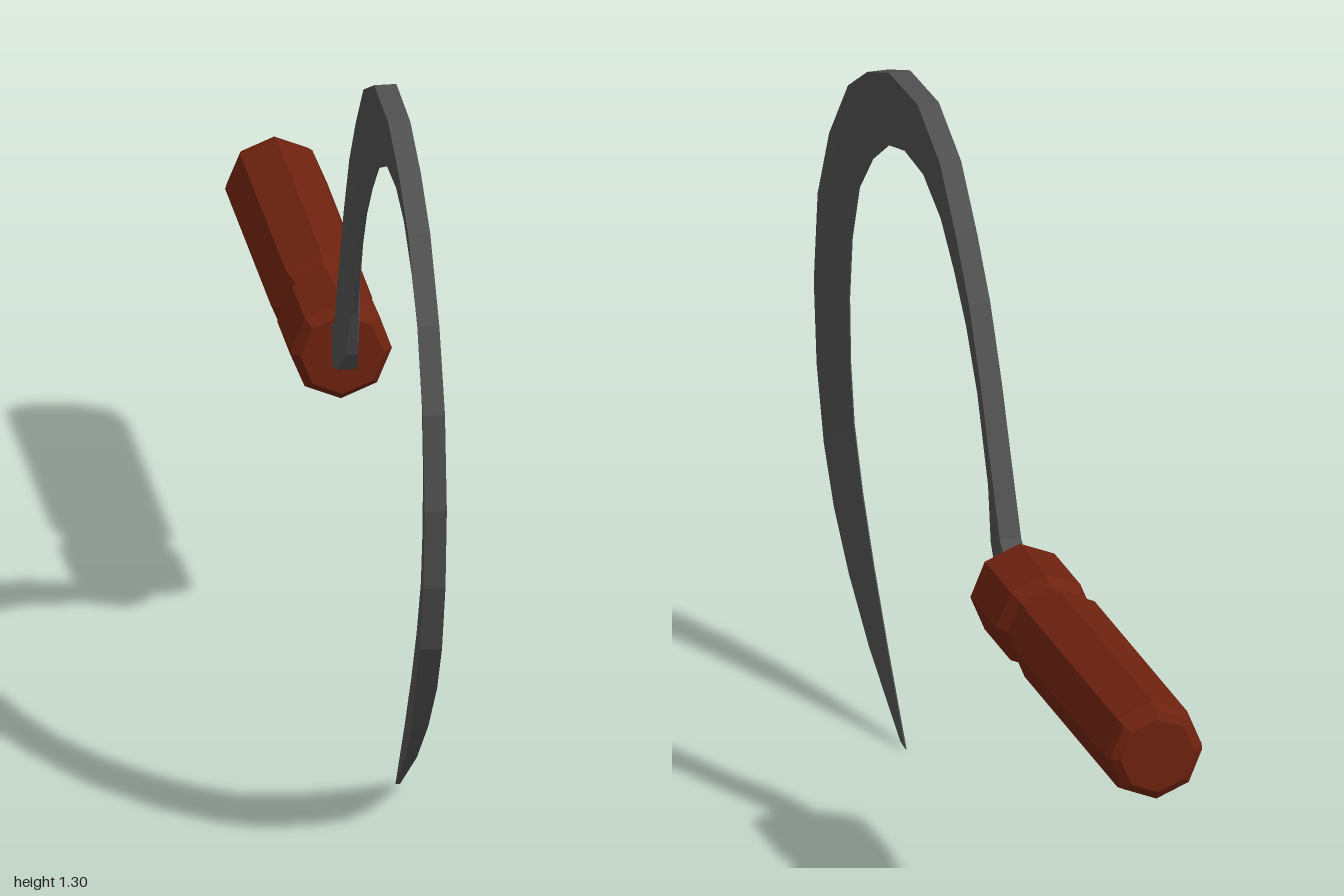
import * as THREE from 'three';

const steel = new THREE.MeshStandardMaterial({ color: 0x505050, flatShading: true });
steel.name = 'dark steel';
const wood = new THREE.MeshStandardMaterial({ color: 0x6e220f, flatShading: true });
wood.name = 'red brown wood';

// Blade stations from handle to tip: spine z, y, cutting edge z, y
const stations = [
  [-0.2, 0.62, -0.2, 0.53], [-0.14, 0.625, -0.09, 0.56], [-0.115, 0.645, -0.035, 0.61],
  [-0.058, 0.77, 0, 0.705], [0, 0.9, 0.08, 0.85], [0.07, 1.03, 0.147, 0.955],
  [0.147, 1.13, 0.22, 1.035], [0.244, 1.235, 0.3, 1.105], [0.378, 1.297, 0.405, 1.15],
  [0.55, 1.293, 0.517, 1.153], [0.68, 1.245, 0.613, 1.127], [0.795, 1.175, 0.71, 1.063],
  [0.908, 1.04, 0.79, 0.978], [0.977, 0.897, 0.833, 0.865], [1, 0.72, 0.849, 0.742],
  [0.983, 0.565, 0.843, 0.62], [0.94, 0.43, 0.822, 0.51], [0.88, 0.33, 0.77, 0.394],
  [0.806, 0.228, 0.704, 0.28], [0.7, 0.126, 0.62, 0.153], [0.533, 0.008, 0.51, 0],
];

// Wedge section: thick spine, thin cutting edge, narrowing to the tip
function bladeGeometry() {
  const positions = [], index = [];
  const last = stations.length - 1;
  const tipWidths = [0.015, 0.01, 0.004];
  stations.forEach(([oz, oy, iz, iy], s) => {
    const spine = s > last - 3 ? tipWidths[s - last + 2] : 0.02;
    const edge = [0.02, 0.018, 0.012, 0.006][s] ?? 0.001;
    positions.push(spine, oy, oz, -spine, oy, oz, -edge, iy, iz, edge, iy, iz);
    if (s === last) return;
    for (let j = 0; j < 4; j++) {
      const a = s * 4 + j, b = s * 4 + (j + 1) % 4;
      index.push(a, b, b + 4, a, b + 4, a + 4);
    }
  });
  const e = last * 4;
  index.push(e, e + 1, e + 2, e, e + 2, e + 3, 0, 2, 1, 0, 3, 2);
  const g = new THREE.BufferGeometry();
  g.setAttribute('position', new THREE.Float32BufferAttribute(positions, 3));
  g.setIndex(index);
  const flat = g.toNonIndexed();
  flat.computeVertexNormals();
  return flat;
}

export function createModel() {
  const model = new THREE.Group();
  model.name = 'sickle';

  const blade = new THREE.Mesh(bladeGeometry(), steel);
  blade.name = 'blade';
  model.add(blade);

  // Octagonal grip with a grooved collar, turned to lie along z
  const profile = [
    [0, -1], [0.07, -1], [0.086, -0.99], [0.0925, -0.965], [0.0925, -0.41], [0.079, -0.383],
    [0.079, -0.352], [0.0925, -0.325], [0.0925, -0.17], [0.076, -0.15], [0, -0.15],
  ].map(([r, z]) => new THREE.Vector2(r, z));
  const gripGeometry = new THREE.LatheGeometry(profile, 8).rotateX(Math.PI / 2);
  const handle = new THREE.Mesh(gripGeometry, wood);
  handle.name = 'handle';
  handle.position.y = 0.565;
  model.add(handle);

  return model;
}
